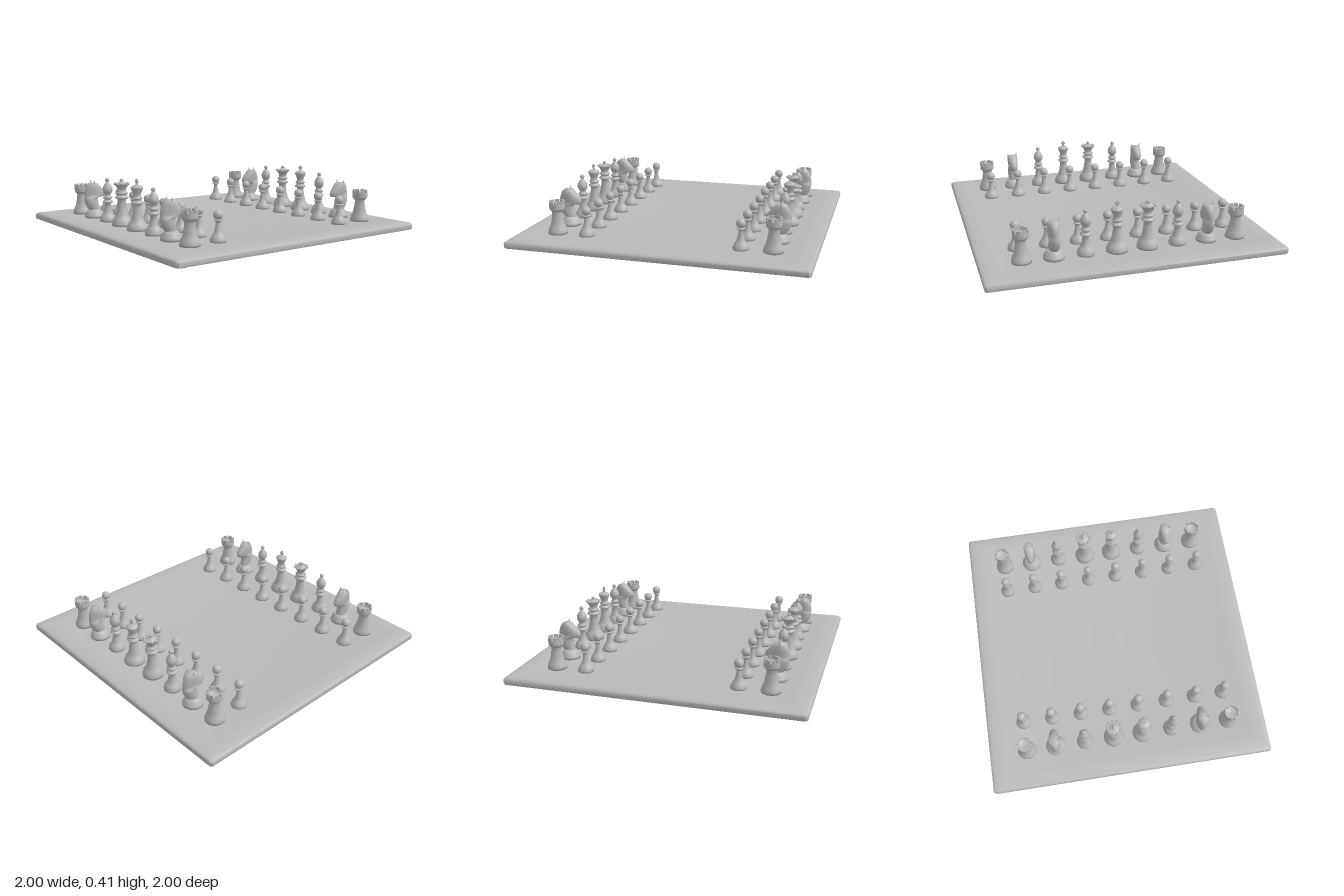
import * as THREE from 'three';
import { toCreasedNormals } from 'three/addons/utils/BufferGeometryUtils.js';

const grey = new THREE.MeshStandardMaterial({ color: 0xb8b8b8 });
grey.name = 'plain grey';

const TOP = 0.066;      // height of the playing surface
const SQUARE = 0.209;   // spacing of the pieces

function add(parent, name, geometry, x = 0, y = 0, z = 0) {
  const mesh = new THREE.Mesh(geometry, grey);
  mesh.name = name;
  mesh.position.set(x, y, z);
  parent.add(mesh);
  return mesh;
}

// Turned part from [radius, height] pairs, bottom to top
function turned(profile, segments = 28) {
  return new THREE.LatheGeometry(profile.map(([r, y]) => new THREE.Vector2(r, y)), segments);
}

// Skin stacked rings of equal point count (listed bottom to top)
function loft(rings, crease) {
  const n = rings[0].length;
  const index = [];
  for (let j = 0; j < rings.length - 1; j++) {
    for (let i = 0; i < n; i++) {
      const a = j * n + i, b = j * n + (i + 1) % n;
      index.push(a, a + n, b, b, a + n, b + n);
    }
  }
  const geometry = new THREE.BufferGeometry();
  geometry.setAttribute('position', new THREE.Float32BufferAttribute(rings.flat(2), 3));
  geometry.setIndex(index);
  return toCreasedNormals(geometry, crease);
}

// Square outline with clipped corners
function squareRing([s, y]) {
  const t = s * 0.985;
  return [[s, t], [t, s], [-t, s], [-s, t], [-s, -t], [-t, -s], [t, -s], [s, -t]]
    .map(([x, z]) => [x, y, z]);
}

// Oval outline between two z limits
function ovalRing([y, back, front, halfWidth]) {
  const ring = [];
  for (let i = 0; i < 20; i++) {
    const a = i / 20 * Math.PI * 2;
    ring.push([halfWidth * Math.cos(a), y, (back + front) / 2 + (front - back) / 2 * Math.sin(a)]);
  }
  return ring;
}

function pawn() {
  const g = new THREE.Group();
  add(g, 'pawnBody', turned([[0, 0], [0.052, 0], [0.053, 0.012], [0.047, 0.024], [0.044, 0.034],
    [0.034, 0.046], [0.024, 0.065], [0.018, 0.09], [0.015, 0.115], [0.015, 0.128],
    [0.027, 0.133], [0.027, 0.139], [0.014, 0.145], [0, 0.147]]));
  add(g, 'pawnHead', new THREE.SphereGeometry(0.031, 24, 16), 0, 0.168);
  return g;
}

function rook() {
  const g = new THREE.Group();
  add(g, 'rookBody', turned([[0, 0], [0.065, 0], [0.066, 0.015], [0.061, 0.026], [0.058, 0.04],
    [0.049, 0.055], [0.042, 0.085], [0.036, 0.12], [0.034, 0.148], [0.04, 0.156], [0.05, 0.166],
    [0.052, 0.172], [0.052, 0.202], [0.05, 0.204], [0.042, 0.204], [0.04, 0.2], [0.038, 0.186], [0, 0.182]]));
  // Battlements round the rim
  const count = 8, half = 0.29;
  const arc = new THREE.Shape();
  arc.absarc(0, 0, 0.052, -half, half, false);
  arc.absarc(0, 0, 0.041, half, -half, true);
  const block = new THREE.ExtrudeGeometry(arc, { depth: 0.02, bevelEnabled: false, curveSegments: 4 });
  block.rotateX(-Math.PI / 2);
  for (let i = 0; i < count; i++) {
    add(g, 'battlement', block, 0, 0.203, 0).rotation.y = (i + 0.5) / count * Math.PI * 2;
  }
  return g;
}

// Nose points along +z
function knight() {
  const g = new THREE.Group();
  add(g, 'knightBase', turned([[0, 0], [0.069, 0], [0.071, 0.014], [0.066, 0.025], [0.06, 0.032],
    [0.058, 0.042], [0.046, 0.054], [0.04, 0.062], [0, 0.064]]));
  add(g, 'knightHead', loft([
    [0.055, -0.04, 0.04, 0.034], [0.08, -0.06, 0.035, 0.037], [0.11, -0.073, 0.028, 0.038],
    [0.135, -0.077, 0.022, 0.038], [0.148, -0.078, 0.03, 0.037], [0.153, -0.078, 0.075, 0.035],
    [0.17, -0.078, 0.086, 0.035], [0.19, -0.076, 0.08, 0.037], [0.215, -0.069, 0.058, 0.039],
    [0.237, -0.058, 0.038, 0.039], [0.252, -0.045, 0.02, 0.036], [0.258, -0.012, -0.012, 0]
  ].map(ovalRing), 1.2));
  for (const side of [-1, 1]) {
    const ear = add(g, 'ear', new THREE.ConeGeometry(0.014, 0.046, 12), side * 0.03, 0.255, -0.012);
    ear.rotation.z = -side * 0.2;
  }
  return g;
}

function bishop() {
  const g = new THREE.Group();
  add(g, 'bishopBody', turned([[0, 0], [0.057, 0], [0.059, 0.014], [0.053, 0.024], [0.052, 0.036],
    [0.042, 0.048], [0.03, 0.068], [0.024, 0.1], [0.021, 0.128], [0.036, 0.136], [0.037, 0.144],
    [0.024, 0.152], [0.023, 0.16], [0.032, 0.167], [0.032, 0.174], [0.021, 0.184], [0.022, 0.195],
    [0.032, 0.21], [0.036, 0.226], [0.034, 0.242], [0.024, 0.262], [0.011, 0.278], [0.008, 0.284], [0, 0.286]]));
  add(g, 'bishopFinial', new THREE.SphereGeometry(0.015, 16, 12), 0, 0.296);
  return g;
}

function queen() {
  const g = new THREE.Group();
  add(g, 'queenBody', turned([[0, 0], [0.071, 0], [0.073, 0.016], [0.067, 0.028], [0.064, 0.044],
    [0.052, 0.058], [0.044, 0.076], [0.035, 0.11], [0.029, 0.15], [0.028, 0.182], [0.044, 0.192],
    [0.046, 0.2], [0.032, 0.209], [0.031, 0.218], [0.041, 0.224], [0.041, 0.23], [0.028, 0.238],
    [0.03, 0.255], [0.04, 0.275], [0.052, 0.29], [0.047, 0.293], [0.036, 0.287], [0.022, 0.3], [0.01, 0.307], [0, 0.308]]));
  // Points of the coronet
  for (let i = 0; i < 9; i++) {
    const a = i / 9 * Math.PI * 2;
    add(g, 'coronetPoint', new THREE.SphereGeometry(0.009, 10, 8),
      0.047 * Math.sin(a), 0.291, 0.047 * Math.cos(a));
  }
  add(g, 'queenFinial', new THREE.SphereGeometry(0.013, 16, 12), 0, 0.314);
  return g;
}

function king() {
  const g = new THREE.Group();
  add(g, 'kingBody', turned([[0, 0], [0.071, 0], [0.073, 0.016], [0.066, 0.028], [0.063, 0.042],
    [0.05, 0.056], [0.042, 0.076], [0.033, 0.11], [0.027, 0.15], [0.025, 0.172], [0.04, 0.18],
    [0.042, 0.188], [0.028, 0.197], [0.028, 0.206], [0.036, 0.212], [0.036, 0.218], [0.025, 0.226],
    [0.027, 0.245], [0.036, 0.268], [0.043, 0.285], [0.04, 0.291], [0.026, 0.3], [0.012, 0.306], [0, 0.307]]));
  // Cross on the crown
  add(g, 'crossUpright', new THREE.BoxGeometry(0.011, 0.042, 0.011), 0, 0.323);
  add(g, 'crossBar', new THREE.BoxGeometry(0.032, 0.011, 0.011), 0, 0.327);
  return g;
}

export function createModel() {
  const model = new THREE.Group();
  model.name = 'chessSet';

  // Board with a softly rounded border and a shallow sunken field
  add(model, 'board', loft([
    [0, 0.012], [0.985, 0.012], [0.998, 0.017], [1, 0.026], [1, 0.048], [0.996, 0.056],
    [0.985, 0.062], [0.96, 0.066], [0.92, 0.068], [0.89, 0.068], [0.88, TOP], [0, TOP]
  ].map(squareRing), 0.7));

  // Feet under the corners
  const foot = new THREE.CylinderGeometry(0.037, 0.034, 0.014, 24);
  for (const x of [-1, 1]) for (const z of [-1, 1]) add(model, 'foot', foot, x * 0.915, 0.007, z * 0.915);

  // Two facing armies
  const rank = [rook, knight, bishop, queen, king, bishop, knight, rook];
  for (const side of [-1, 1]) {
    rank.forEach((make, i) => {
      const x = (i - 3.5) * SQUARE;
      const piece = make();
      piece.name = make.name;
      piece.position.set(x, TOP, side * 3.5 * SQUARE);
      piece.rotation.y = side > 0 ? Math.PI : 0;
      const soldier = pawn();
      soldier.name = 'pawn';
      soldier.position.set(x, TOP, side * 2.5 * SQUARE);
      model.add(piece, soldier);
    });
  }
  return model;
}
